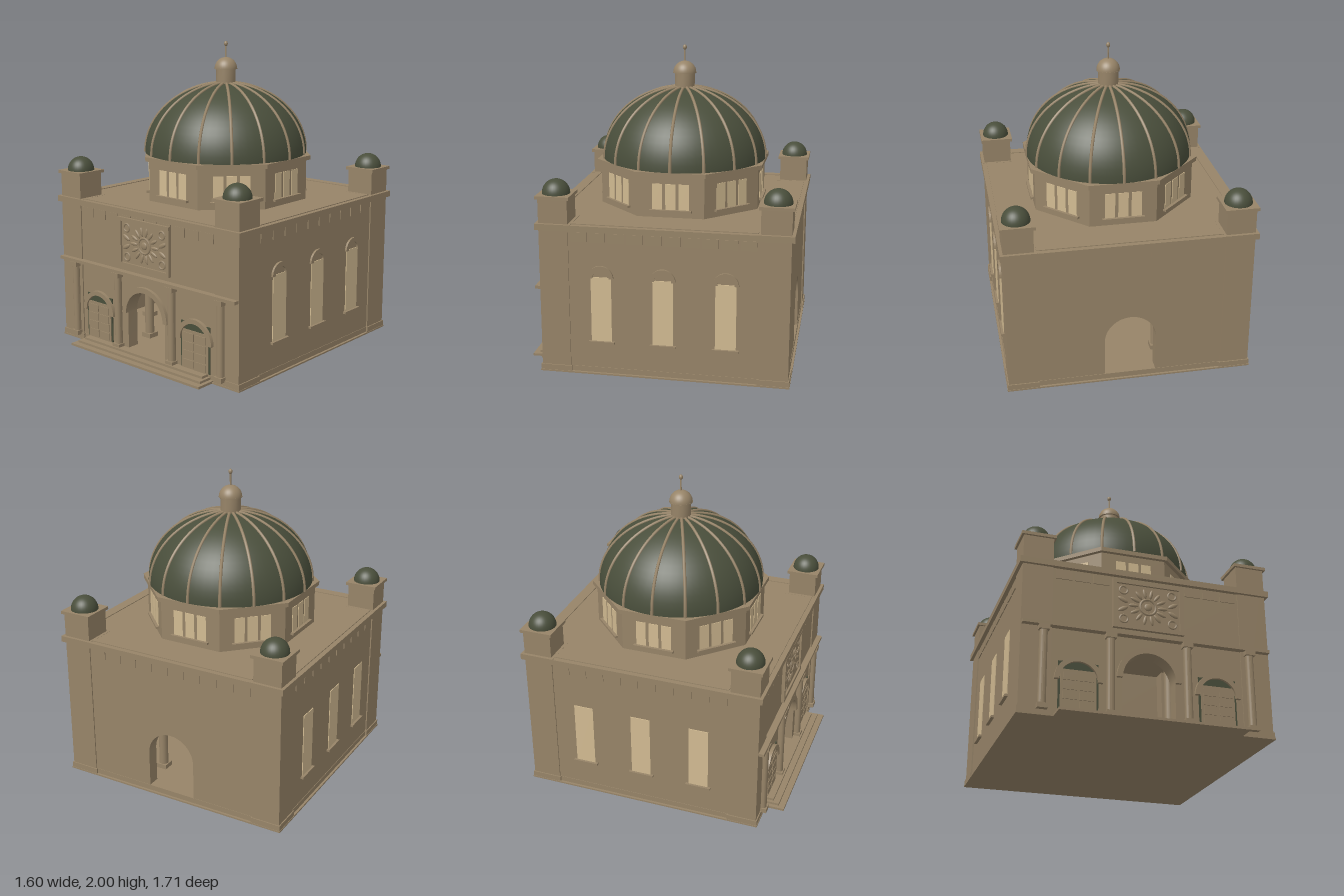
import * as THREE from 'three';
import { toCreasedNormals } from 'three/addons/utils/BufferGeometryUtils.js';

const stone = new THREE.MeshStandardMaterial({ color: 0x978468 });
stone.name = 'stone';
const green = new THREE.MeshStandardMaterial({ color: 0x494e3b });
green.name = 'dome green';
const pale = new THREE.MeshStandardMaterial({ color: 0xd2bb92 });
pale.name = 'window cream';

const PI = Math.PI;

function add(parent, name, geo, mat, x = 0, y = 0, z = 0) {
  const m = new THREE.Mesh(geo, mat);
  m.name = name;
  m.position.set(x, y, z);
  parent.add(m);
  return m;
}

// Box given by its bottom height
function box(parent, name, w, h, d, x, y, z, mat = stone) {
  return add(parent, name, new THREE.BoxGeometry(w, h, d), mat, x, y + h / 2, z);
}

function cyl(parent, name, r, h, x, y, z, sides = 16) {
  const geo = toCreasedNormals(new THREE.CylinderGeometry(r, r, h, sides), sides > 8 ? 0.6 : 0.1);
  return add(parent, name, geo, stone, x, y + h / 2, z);
}

// Eight-sided prism with a flat side facing front
function octagon(parent, name, apothem, h, y) {
  const m = cyl(parent, name, apothem / Math.cos(PI / 8), h, 0, y, 0, 8);
  m.rotation.y = PI / 8;
  return m;
}

const extrude = (shape, depth) => toCreasedNormals(
  new THREE.ExtrudeGeometry(shape, { depth, bevelEnabled: false, curveSegments: 20 }), 0.5);

// Half ring standing on its ends
function archRing(parent, name, outer, inner, depth, x, y, z) {
  const s = new THREE.Shape();
  s.absarc(0, 0, outer, 0, PI, false);
  s.lineTo(-inner, 0);
  s.absarc(0, 0, inner, PI, 0, true);
  return add(parent, name, extrude(s, depth), stone, x, y, z);
}

// Wall with a round-headed doorway
function archedWall(parent, name, z) {
  const s = new THREE.Shape();
  s.moveTo(-0.7, 0.02);
  s.lineTo(-0.165, 0.02);
  s.lineTo(-0.165, 0.285);
  s.absarc(0, 0.285, 0.165, PI, 0, true);
  s.lineTo(0.165, 0.02);
  s.lineTo(0.7, 0.02);
  s.lineTo(0.7, 0.95);
  s.lineTo(-0.7, 0.95);
  add(parent, name, extrude(s, 0.08), stone, 0, 0, z);
}

// Column with square base and capital
function column(parent, name, x, z, y, top, r) {
  const w = r * 2.5;
  box(parent, name + 'Base', w, 0.03, w, x, y, z);
  cyl(parent, name + 'Shaft', r, top - y - 0.06, x, y + 0.03, z);
  box(parent, name + 'Capital', w, 0.03, w, x, top - 0.03, z);
}

function hemisphere(parent, name, r, h, mat, x, y, z, sides = 32) {
  const m = add(parent, name, new THREE.SphereGeometry(r, sides, 16, 0, PI * 2, 0, PI / 2), mat, x, y, z);
  m.scale.y = h / r;
  return m;
}

function part(parent, name) {
  const g = new THREE.Group();
  g.name = name;
  parent.add(g);
  return g;
}

function buildBody(root) {
  const body = part(root, 'body');
  box(body, 'floor', 1.55, 0.045, 1.55, 0, 0, 0);
  box(body, 'groundSlab', 1.58, 0.01, 1.58, 0, 0, 0);
  archedWall(body, 'frontWall', 0.692);
  archedWall(body, 'backWall', -0.772);
  for (const s of [-1, 1]) box(body, 'sideWall', 0.08, 0.93, 1.4, s * 0.732, 0.02, 0);
  box(body, 'cornice', 1.6, 0.038, 1.6, 0, 0.938, 0);

  // Corner piers with small domes
  for (const x of [-0.687, 0.687]) for (const z of [-0.687, 0.687]) {
    box(body, 'cornerPier', 0.186, 1.13, 0.186, x, 0, z);
    box(body, 'pierPlinth', 0.2, 0.045, 0.2, x, 0, z);
    box(body, 'pierCornice', 0.226, 0.038, 0.226, x, 0.939, z);
    box(body, 'pierCap', 0.214, 0.02, 0.214, x, 1.13, z);
    hemisphere(body, 'pierDome', 0.088, 0.09, green, x, 1.15, z);
  }

  // Frieze blocks and roof strips on each side
  for (let i = 0; i < 4; i++) {
    const side = part(body, 'wallFrieze');
    side.rotation.y = i * PI / 2;
    for (let k = 0; k < 10; k++) box(side, 'friezeBlock', 0.1, 0.06, 0.012, (k - 4.5) * 0.117, 0.87, 0.772);
    box(side, 'roofStrip', 1.16, 0.006, 0.045, 0, 0.975, 0.745);
  }

  // Tall side windows
  for (const s of [-1, 1]) {
    const side = part(body, s > 0 ? 'leftWindows' : 'rightWindows');
    side.rotation.y = s * PI / 2;
    for (const x of [-0.39, 0, 0.39]) {
      box(side, 'tallWindow', 0.13, 0.425, 0.008, x, 0.22, 0.773, pale);
      box(side, 'windowSill', 0.165, 0.014, 0.03, x, 0.21, 0.777);
      if (s > 0) archRing(side, 'windowHood', 0.08, 0.053, 0.016, x, 0.64, 0.77);
    }
  }

  // Ring of columns inside, under the drum
  for (let i = 0; i < 8; i++) {
    const a = (i + 0.5) * PI / 4;
    column(body, 'innerColumn', 0.57 * Math.cos(a), 0.57 * Math.sin(a), 0.045, 0.94, 0.03);
  }
}

function buildFront(root) {
  const front = part(root, 'facade');
  const steps = [[1.15, 0.015, 0.91], [1.1, 0.03, 0.87], [1.06, 0.045, 0.83]];
  for (const [w, h, z] of steps) box(front, 'step', w, h, z - 0.7, 0, 0, (z + 0.7) / 2);

  for (const x of [-0.645, -0.24, 0.24, 0.645]) column(front, 'frontColumn', x, 0.788, 0.035, 0.545, 0.025);
  box(front, 'stringCourse', 1.55, 0.02, 0.06, 0, 0.545, 0.785);
  archRing(front, 'mainArch', 0.2, 0.165, 0.025, 0, 0.285, 0.768);

  // Side doors under arches
  for (const x of [-0.43, 0.43]) {
    box(front, 'doorBack', 0.24, 0.3, 0.009, x, 0.045, 0.773, green);
    box(front, 'doorLeaf', 0.215, 0.25, 0.008, x, 0.045, 0.779);
    for (const dx of [-0.05, 0.05]) for (let k = 0; k < 4; k++)
      box(front, 'doorPanel', 0.084, 0.048, 0.006, x + dx, 0.055 + k * 0.058, 0.785);
    archRing(front, 'doorArch', 0.145, 0.115, 0.025, x, 0.23, 0.77);
  }

  // Carved panel with rosette
  const panel = part(front, 'carvedPanel');
  panel.position.set(0, 0.758, 0.772);
  box(panel, 'panelBack', 0.42, 0.29, 0.012, 0, -0.145, 0.003);
  for (const s of [-1, 1]) {
    box(panel, 'frameRail', 0.45, 0.025, 0.024, 0, s * 0.148 - 0.0125, 0.01);
    box(panel, 'frameStile', 0.025, 0.32, 0.024, s * 0.2125, -0.16, 0.01);
  }
  const bump = (name, r, sx, sy, x, y, turn) => {
    const m = add(panel, name, new THREE.SphereGeometry(r, 12, 8), stone, x, y, 0.009);
    m.scale.set(sx, sy, 0.008 / r);
    m.rotation.z = turn;
  };
  bump('rosetteHeart', 0.025, 1, 1, 0, 0, 0);
  const ring = add(panel, 'rosetteRing', new THREE.TorusGeometry(0.05, 0.008, 6, 24), stone, 0, 0, 0.009);
  ring.scale.z = 0.8;
  for (let i = 0; i < 14; i++) {
    const a = i * PI / 7;
    bump('rosettePetal', 0.032, 1, 0.35, 0.093 * Math.cos(a), 0.09 * Math.sin(a), a);
  }
  for (const x of [-1, 1]) for (const y of [-1, 1]) {
    add(panel, 'cornerScroll', new THREE.TorusGeometry(0.025, 0.007, 6, 16), stone, x * 0.155, y * 0.095, 0.008);
    bump('sideLeaf', 0.035, 1, 0.4, x * 0.16, y * 0.03, x * y * 0.5);
  }
}

function buildDome(root) {
  const drum = part(root, 'drum');
  octagon(drum, 'drumWall', 0.515, 0.28, 0.965);
  octagon(drum, 'drumCornice', 0.54, 0.028, 1.24);
  for (let i = 0; i < 8; i++) {
    const face = part(drum, 'drumWindow');
    face.rotation.y = i * PI / 4;
    for (const x of [-0.085, 0, 0.085]) box(face, 'pane', 0.065, 0.165, 0.008, x, 1.027, 0.515, pale);
    box(face, 'drumSill', 0.27, 0.014, 0.03, 0, 1.013, 0.522);
  }

  // Ribbed dome
  const dome = part(root, 'dome');
  const R = 0.54, H = 0.46, y0 = 1.268;
  hemisphere(dome, 'domeShell', R, H, green, 0, y0, 0, 64);
  const pts = [];
  for (let k = 0; k <= 12; k++) {
    const a = k / 12 * 1.46;
    pts.push(new THREE.Vector3(R * Math.cos(a), y0 + H * Math.sin(a), 0));
  }
  const ribGeo = new THREE.TubeGeometry(new THREE.CatmullRomCurve3(pts), 28, 0.01, 6);
  for (let i = 0; i < 16; i++) add(dome, 'domeRib', ribGeo, stone).rotation.y = i * PI / 8;

  // Lantern and finial
  const lantern = part(root, 'lantern');
  cyl(lantern, 'lanternDrum', 0.066, 0.11, 0, 1.712, 0, 12);
  cyl(lantern, 'lanternLip', 0.076, 0.006, 0, 1.817, 0, 24);
  hemisphere(lantern, 'lanternDome', 0.075, 0.075, stone, 0, 1.82, 0);
  cyl(lantern, 'finialRod', 0.005, 0.1, 0, 1.885, 0, 10);
  add(lantern, 'finialBall', new THREE.SphereGeometry(0.013, 14, 10), stone, 0, 1.983, 0).scale.y = 1.3;
}

export function createModel() {
  const model = new THREE.Group();
  model.name = 'domedHall';
  const hall = part(model, 'hall');
  hall.position.z = -0.058;
  buildBody(hall);
  buildFront(hall);
  buildDome(hall);
  return model;
}
